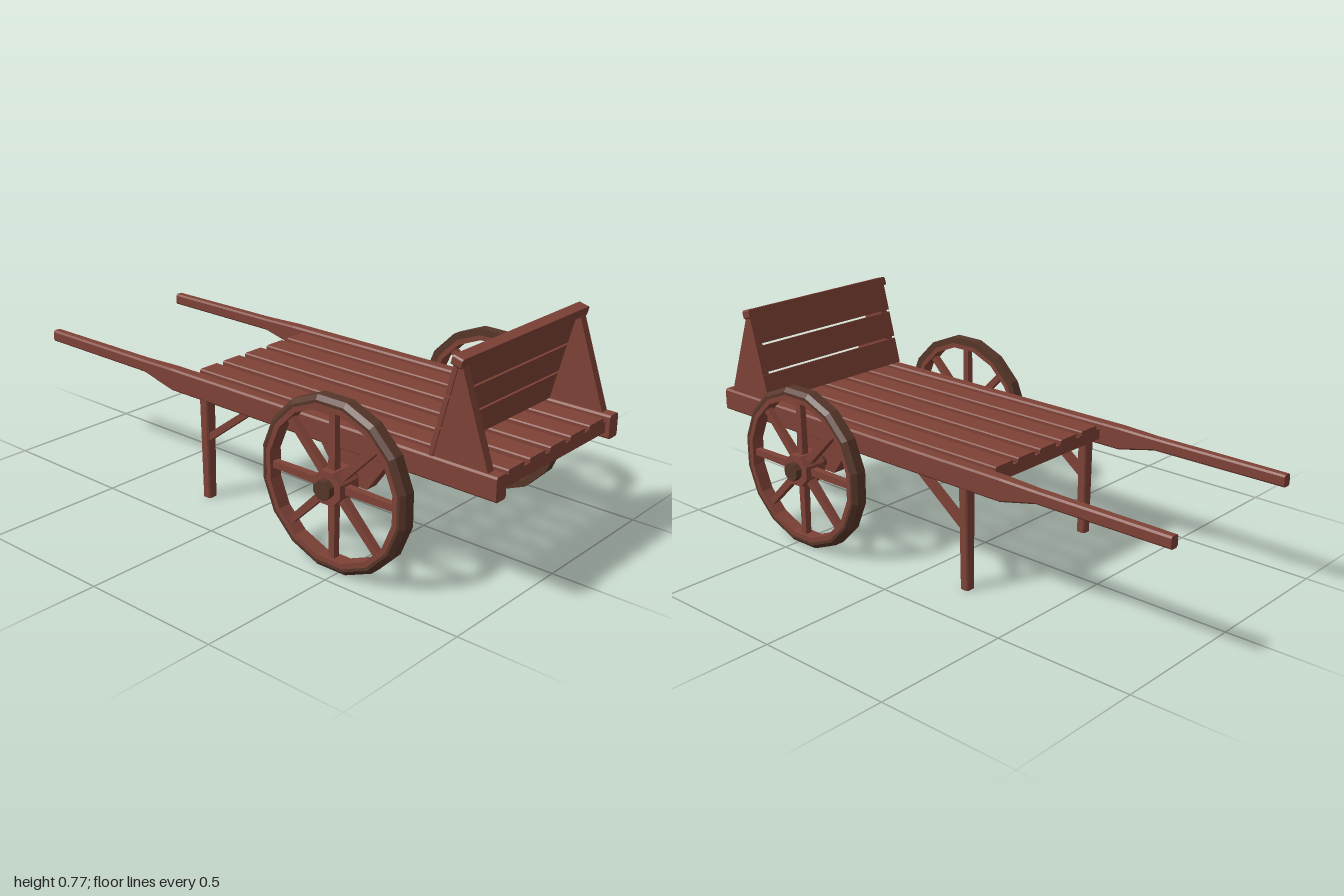
import * as THREE from 'three';

const mat = (name, color) => {
  const m = new THREE.MeshStandardMaterial({ color, flatShading: true });
  m.name = name;
  return m;
};

export function createModel() {
  const cart = new THREE.Group();
  cart.name = 'handcart';
  const wood = mat('red brown wood', 0x7e4236);
  const iron = mat('dark iron', 0x573629);

  const add = (parent, name, geo, material, x = 0, y = 0, z = 0) => {
    const mesh = new THREE.Mesh(geo, material);
    mesh.name = name;
    mesh.position.set(x, y, z);
    parent.add(mesh);
    return mesh;
  };
  const box = (parent, name, w, h, d, x, y, z, material = wood) =>
    add(parent, name, new THREE.BoxGeometry(w, h, d), material, x, y, z);

  // Outline in (z, y), given thickness w along x and centred on x = 0
  const plate = (pts, w) => {
    const shape = new THREE.Shape(pts.map(p => new THREE.Vector2(p[0], p[1])));
    return new THREE.ExtrudeGeometry(shape, { depth: w, bevelEnabled: false })
      .rotateY(-Math.PI / 2).translate(w / 2, 0, 0);
  };

  // Chamfered beam along z through stations [z, halfWidth, bottom, top], from front to back
  const beam = (stations, c) => {
    const pos = [], idx = [];
    for (const [z, w, b, t] of stations) {
      const ring = [[w, b + c], [w, t - c], [w - c, t], [c - w, t],
        [-w, t - c], [-w, b + c], [c - w, b], [w - c, b]];
      ring.forEach(([x, y]) => pos.push(x, y, z));
    }
    const n = stations.length;
    for (let i = 0; i < n - 1; i++) {
      for (let j = 0; j < 8; j++) {
        const a = i * 8 + j, d = i * 8 + (j + 1) % 8;
        idx.push(a, a + 8, d, d, a + 8, d + 8);
      }
    }
    for (let j = 1; j < 7; j++) {
      idx.push(0, j, j + 1);
      idx.push((n - 1) * 8, (n - 1) * 8 + j + 1, (n - 1) * 8 + j);
    }
    const geo = new THREE.BufferGeometry();
    geo.setAttribute('position', new THREE.Float32BufferAttribute(pos, 3));
    geo.setIndex(idx);
    geo.computeVertexNormals();
    return geo;
  };

  // Faceted ring or rod turned round the x axis; profile is [radius, x]
  const turned = (profile, sides) => new THREE.LatheGeometry(
    profile.map(p => new THREE.Vector2(p[0], p[1])), sides, Math.PI / sides)
    .rotateZ(-Math.PI / 2);
  const rod = (r, x0, x1, sides) => turned([[0, x0], [r, x0], [r, x1], [0, x1]], sides);

  // Bed: slats on cross beams
  for (let i = -2; i <= 2; i++) {
    add(cart, 'bedSlat', beam([[0.99, 0.042, 0.418, 0.438], [-0.28, 0.042, 0.418, 0.438]], 0.004),
      wood, i * 0.111);
  }
  for (const z of [0.965, 0.57, 0.14, -0.255]) {
    box(cart, 'crossBeam', 0.6, 0.038, 0.04, 0, 0.4, z);
  }

  // Headboard planks lean forward against the side triangles
  const lean = Math.atan2(0.08, 0.3);
  for (let i = 0; i < 3; i++) {
    const y = 0.487 + i * 0.102;
    const plank = box(cart, 'headboardPlank', 0.668, 0.097, 0.016, 0, y, 0.761 + (y - 0.44) * 0.267);
    plank.rotation.x = lean;
  }
  const cap = add(cart, 'headboardCap',
    beam([[0.018, 0.34, -0.016, 0.016], [-0.018, 0.34, -0.016, 0.016]], 0.005), wood, 0, 0.752, 0.847);
  cap.rotation.x = lean;

  for (const s of [-1, 1]) {
    const side = s > 0 ? 'left' : 'right';

    // Side rail tapering into the handle
    add(cart, side + 'RailAndHandle', beam([
      [1, 0.025, 0.36, 0.44], [-0.355, 0.023, 0.36, 0.44],
      [-0.5, 0.019, 0.392, 0.436], [-1, 0.017, 0.392, 0.434],
    ], 0.006), wood, s * 0.312);

    // Triangular headboard support
    add(cart, side + 'HeadboardSupport',
      plate([[0.965, 0.435], [0.86, 0.742], [0.842, 0.742], [0.762, 0.435]], 0.03), wood, s * 0.314);

    // Axle bracket below the rail
    add(cart, side + 'AxleBracket',
      plate([[0.605, 0.365], [0.525, 0.255], [0.415, 0.255], [0.335, 0.365]], 0.044), wood, s * 0.312);

    // Leg and diagonal brace
    const leg = add(cart, side + 'Leg',
      beam([[0.38, 0.022, -0.019, 0.019], [0, 0.018, -0.017, 0.017]], 0.005), wood, s * 0.311, 0, -0.198);
    leg.rotation.x = -Math.PI / 2;
    add(cart, side + 'LegBrace',
      plate([[0.017, 0.365], [-0.02, 0.365], [-0.185, 0.243], [-0.185, 0.213]], 0.028), wood, s * 0.311);

    // Wheel, with its outer face along local +x
    const wheel = new THREE.Group();
    wheel.name = side + 'Wheel';
    wheel.position.set(s * 0.425, 0.287, 0.47);
    if (s < 0) wheel.rotation.y = Math.PI;
    cart.add(wheel);
    add(wheel, 'tyre', turned([[0.268, -0.025], [0.2925, -0.025], [0.2925, 0.012],
      [0.278, 0.025], [0.268, 0.025], [0.268, -0.025]], 16), iron);
    add(wheel, 'rim', turned([[0.268, -0.0245], [0.268, 0.0245], [0.25, 0.0245],
      [0.25, -0.0245], [0.268, -0.0245]], 16), wood);
    for (let i = 0; i < 8; i++) {
      const geo = new THREE.CylinderGeometry(0.016, 0.019, 0.215, 4, 1)
        .rotateY(Math.PI / 4).translate(0, 0.148, 0);
      add(wheel, 'spoke', geo, wood).rotation.x = i * Math.PI / 4;
    }
    add(wheel, 'hub', rod(0.0595, -0.05, 0.036, 8), wood);
    add(wheel, 'hubCap', rod(0.033, 0.03, 0.06, 8), iron);
  }

  // Axle
  add(cart, 'axle', rod(0.02, -0.47, 0.47, 8), iron, 0, 0.287, 0.47);

  return cart;
}
